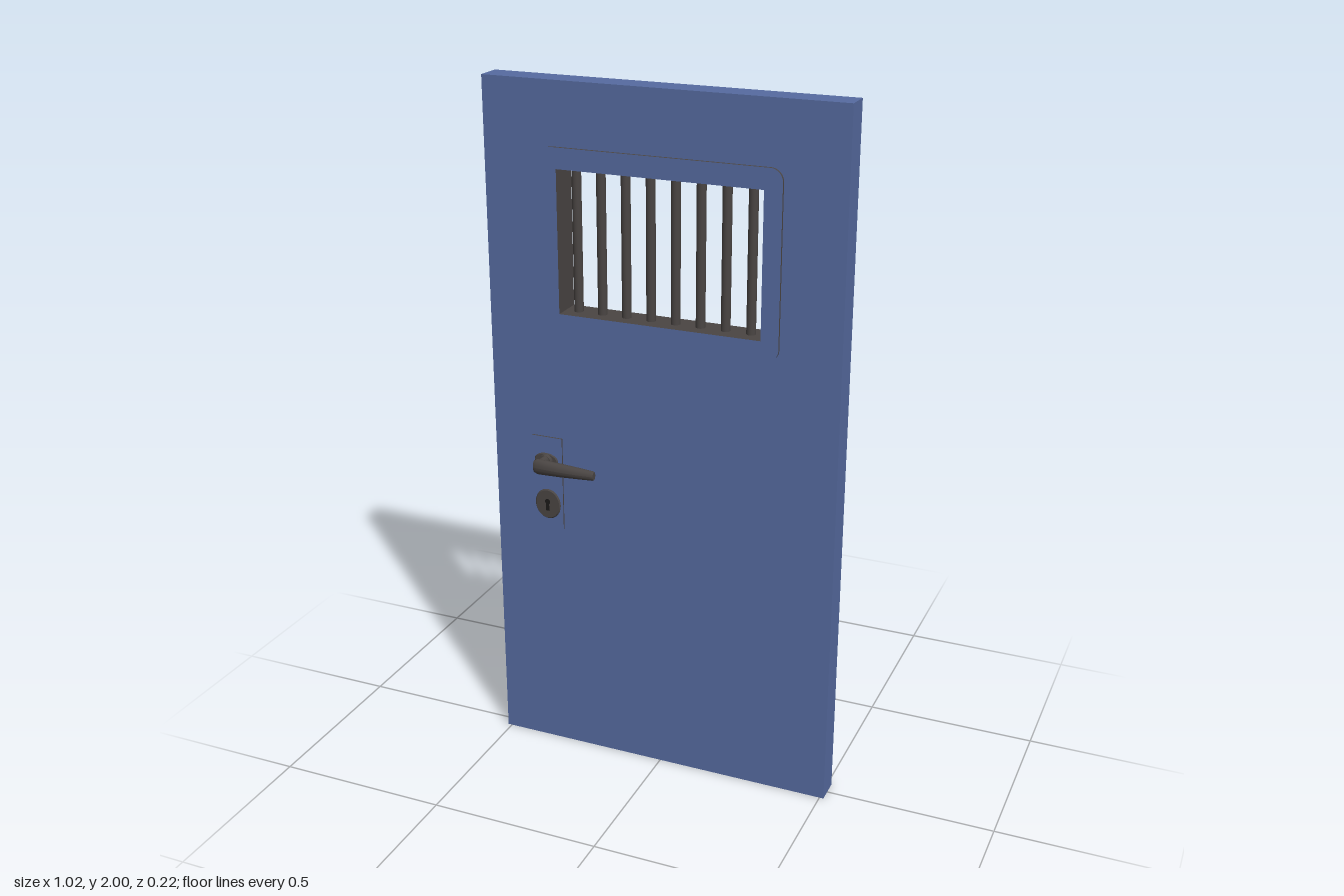
import * as THREE from 'three';

export function createModel() {
  const door = new THREE.Group();
  door.name = 'barredDoor';
  const mat = (name, color) => {
    const m = new THREE.MeshStandardMaterial({ color });
    m.name = name;
    return m;
  };
  const blue = mat('bluePaint', 0x566ba0);
  const metal = mat('darkMetal', 0x4a4543);
  const black = mat('keyholeBlack', 0x1c1a19);
  const ZC = -0.002; // middle of the slab
  const HALF = 0.038;

  const add = (name, geometry, material, x, y, z, parent = door) => {
    const mesh = new THREE.Mesh(geometry, material);
    mesh.name = name;
    mesh.position.set(x, y, z);
    parent.add(mesh);
    return mesh;
  };

  // Rectangle with optional rounded corners, as a Shape or a hole Path
  const rect = (x0, y0, x1, y1, r = 0, Type = THREE.Shape) => {
    const s = new Type();
    if (!r) {
      s.moveTo(x0, y0); s.lineTo(x1, y0); s.lineTo(x1, y1); s.lineTo(x0, y1); s.closePath();
      return s;
    }
    s.absarc(x1 - r, y0 + r, r, -Math.PI / 2, 0);
    s.absarc(x1 - r, y1 - r, r, 0, Math.PI / 2);
    s.absarc(x0 + r, y1 - r, r, Math.PI / 2, Math.PI);
    s.absarc(x0 + r, y0 + r, r, Math.PI, Math.PI * 1.5);
    s.closePath();
    return s;
  };
  const slab = (shape, depth) => {
    const g = new THREE.ExtrudeGeometry(shape, { depth, bevelEnabled: false, curveSegments: 8 });
    return g.translate(0, 0, -depth / 2);
  };

  // Window opening
  const W = { x0: -0.295, x1: 0.29, y0: 1.365, y1: 1.767 };
  const t = 0.006;

  // Door slab with the opening cut out
  const slabShape = rect(-0.512, 0, 0.512, 2);
  slabShape.holes.push(rect(W.x0 - t, W.y0 - t, W.x1 + t, W.y1 + t, 0, THREE.Path));
  add('doorSlab', slab(slabShape, HALF * 2), blue, 0, 0, ZC);

  // Metal lining of the opening
  const lining = rect(W.x0 - t, W.y0 - t, W.x1 + t, W.y1 + t);
  lining.holes.push(rect(W.x0, W.y0, W.x1, W.y1, 0, THREE.Path));
  add('windowLining', slab(lining, HALF * 2), metal, 0, 0, ZC);

  // Upright bars
  const bars = new THREE.Group();
  bars.name = 'windowBars';
  door.add(bars);
  const barGeo = new THREE.CylinderGeometry(0.013, 0.013, W.y1 - W.y0, 16);
  for (let i = 0; i < 8; i++) {
    add('bar', barGeo, metal, -0.257 + i * 0.072, (W.y0 + W.y1) / 2, ZC, bars);
  }

  // Lever: cross-sections [x, half height, half depth]
  const sections = [
    [-0.362, 0.018, 0.010], [-0.352, 0.023, 0.013], [-0.325, 0.022, 0.0145],
    [-0.28, 0.020, 0.016], [-0.23, 0.017, 0.0145], [-0.18, 0.014, 0.011], [-0.176, 0.012, 0.009],
  ];
  const leverGeo = new THREE.CylinderGeometry(1, 1, 1, 20, sections.length - 1);
  const p = leverGeo.attributes.position;
  for (let i = 0; i < p.count; i++) {
    const [x, ry, rz] = sections[Math.round((p.getY(i) + 0.5) * (sections.length - 1))];
    p.setXYZ(i, x, -p.getX(i) * ry, p.getZ(i) * rz);
  }
  leverGeo.computeVertexNormals();

  // Keyhole outline: round top with a flared slot
  const keyShape = new THREE.Shape();
  keyShape.absarc(0, 0.008, 0.008, -Math.PI * 0.3, Math.PI * 1.3);
  keyShape.lineTo(-0.005, -0.02);
  keyShape.lineTo(0.005, -0.02);
  keyShape.closePath();

  const trimShape = rect(-0.343, 1.31, 0.34, 1.825, 0.035);
  trimShape.holes.push(rect(W.x0, W.y0, W.x1, W.y1, 0, THREE.Path));

  // Trim and lock furniture, repeated on both faces
  for (const s of [1, -1]) {
    const side = new THREE.Group();
    side.name = s > 0 ? 'frontFittings' : 'backFittings';
    door.add(side);
    const at = d => ZC + s * (HALF + d);

    // Painted plates with dark metal edges
    add('windowTrim', slab(trimShape, 0.008), [blue, metal], 0, 0, at(0.004), side);
    add('lockPlate', slab(rect(-0.395, 0.71, -0.3, 0.992), 0.005), [blue, metal], 0, 0, at(0.0025), side);

    // Round parts whose axis points out of the door
    const disc = (name, rBase, rEnd, from, to, x, y, sx, sy) => {
      const g = new THREE.CylinderGeometry(rEnd, rBase, to - from, 28);
      g.rotateX(s * Math.PI / 2).scale(sx, sy, 1);
      add(name, g, metal, x, y, at((from + to) / 2), side);
    };
    disc('handleRosette', 0.038, 0.034, 0.004, 0.009, -0.35, 0.92, 1, 0.6);
    disc('handleCollar', 0.021, 0.019, 0.008, 0.019, -0.349, 0.92, 1, 1);
    disc('handleNeck', 0.0125, 0.0135, 0.018, 0.06, -0.347, 0.92, 1, 1.5);
    add('lever', leverGeo, metal, 0, 0.92, at(0.056), side);

    disc('keyRosette', 0.041, 0.037, 0.004, 0.009, -0.348, 0.784, 1, 1.15);
    add('keyhole', slab(keyShape, 0.002), black, -0.348, 0.784, at(0.009), side);
  }
  return door;
}
